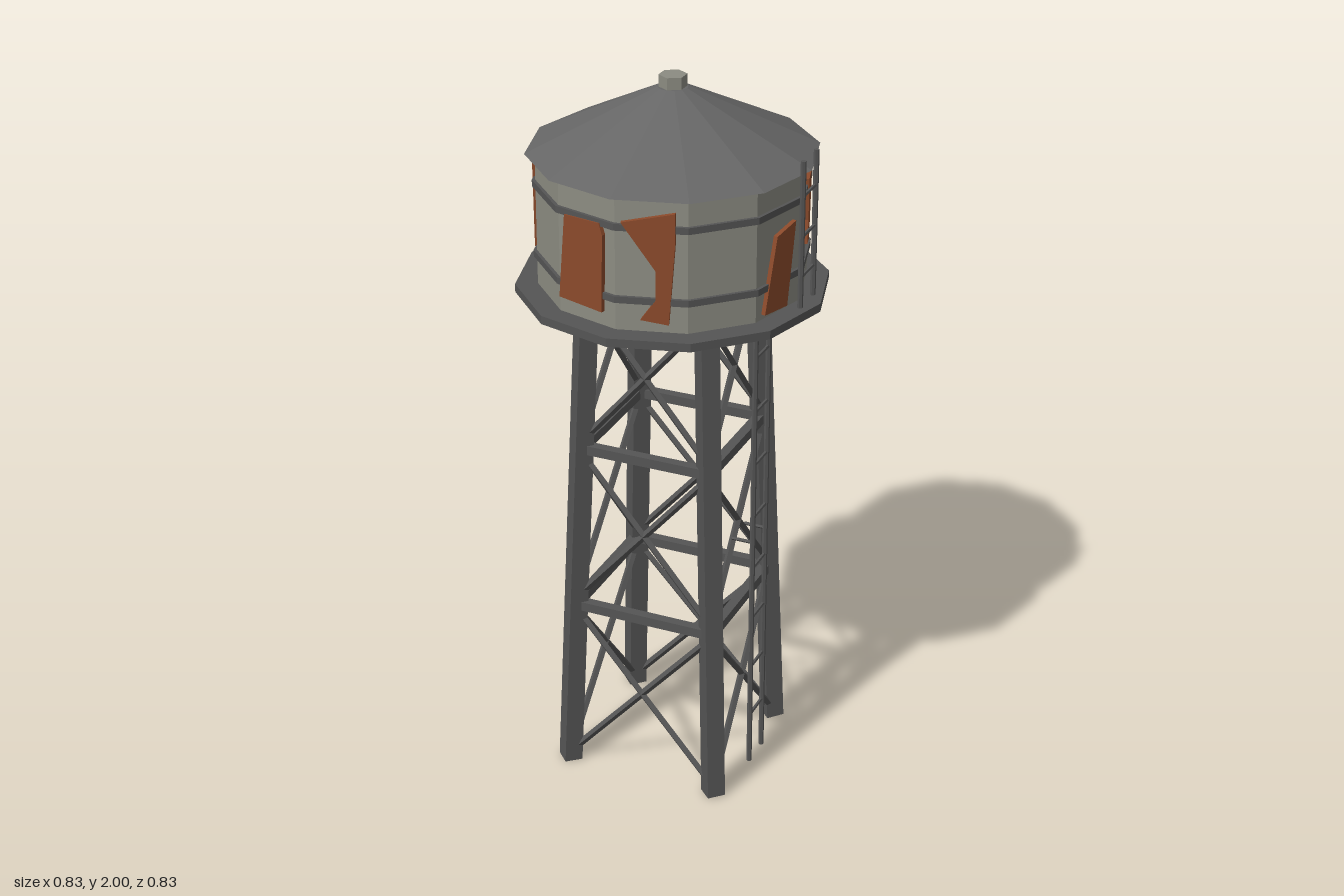
import * as THREE from 'three';

const mat = (color) => new THREE.MeshStandardMaterial({ color, flatShading: true });
const steel = mat(0x555555), roofGrey = mat(0x666666), tankGrey = mat(0x8c8c82), rust = mat(0x8b4a2b);
const UP = new THREE.Vector3(0, 1, 0);

export function createModel() {
  const root = new THREE.Group();
  root.name = 'waterTower';

  const add = (name, geometry, material, parent = root) => {
    const mesh = new THREE.Mesh(geometry, material);
    mesh.name = name;
    parent.add(mesh);
    return mesh;
  };
  const group = (name) => {
    const g = new THREE.Group();
    g.name = name;
    root.add(g);
    return g;
  };
  // Upright prism between two heights
  const drum = (name, rTop, rBottom, y0, y1, sides, material) => {
    const m = add(name, new THREE.CylinderGeometry(rTop, rBottom, y1 - y0, sides), material);
    m.position.y = (y0 + y1) / 2;
    return m;
  };
  // Straight bar between two points
  const bar = (name, a, b, radius, sides, parent) => {
    const p = new THREE.Vector3(...a), q = new THREE.Vector3(...b);
    const dir = q.clone().sub(p);
    const m = add(name, new THREE.CylinderGeometry(radius, radius, dir.length(), sides), steel, parent);
    m.position.copy(p).add(q).multiplyScalar(0.5);
    m.quaternion.setFromUnitVectors(UP, dir.normalize());
    return m;
  };

  // Tank, hoops, platform, roof and vent
  drum('platform', 0.415, 0.415, 1.417, 1.44, 12, steel);
  drum('tank', 0.355, 0.355, 1.44, 1.802, 12, tankGrey);
  for (const y of [1.525, 1.72]) drum('hoop', 0.364, 0.364, y - 0.009, y + 0.009, 12, steel);
  drum('roof', 0.04, 0.382, 1.8, 1.968, 12, roofGrey);
  drum('vent', 0.037, 0.037, 1.96, 2, 6, tankGrey);

  // Legs lean inwards; half-spread at a given height
  const spread = (y) => 0.22 - 0.05 * (y / 1.42);
  const legs = group('legs');
  for (const sx of [-1, 1]) for (const sz of [-1, 1]) {
    const s0 = spread(0), s1 = spread(1.42);
    bar('leg', [sx * s0, 0.002, sz * s0], [sx * s1, 1.42, sz * s1], 0.036, 4, legs);
  }

  // Beams and cross braces, repeated on four sides
  const tiers = [[0.02, 0.49], [0.525, 0.97], [1.005, 1.42]];
  for (let i = 0; i < 4; i++) {
    const side = group('bracing');
    side.rotation.y = i * Math.PI / 2;
    for (const y of [0.505, 0.985]) {
      const beam = add('beam', new THREE.BoxGeometry(2 * spread(y), 0.027, 0.027), steel, side);
      beam.position.set(0, y, spread(y));
    }
    for (const [y0, y1] of tiers) for (const s of [-1, 1]) {
      const a = spread(y0), b = spread(y1);
      bar('crossBrace', [-s * a, y0, a], [s * b, y1, b], 0.01, 4, side);
    }
  }

  // Lower and upper ladders on the left side
  const ladder = (name, x, y0, y1, firstRung, step, count) => {
    const g = group(name);
    for (const z of [-0.045, 0.045]) bar('rail', [x, y0, z], [x, y1, z], 0.0075, 6, g);
    for (let i = 0; i < count; i++) {
      const y = firstRung + i * step;
      bar('rung', [x, y, -0.045], [x, y, 0.045], 0.005, 5, g);
    }
    return g;
  };
  const lower = ladder('lowerLadder', 0.256, 0.01, 1.42, 0.165, 0.158, 8);
  for (const z of [-0.045, 0.045]) bar('ladderBracket', [0.195, 0.72, z], [0.256, 0.72, z], 0.005, 5, lower);
  ladder('upperLadder', 0.376, 1.44, 1.84, 1.525, 0.11, 3);

  // Rust plates: facet angle in degrees, then outline as [across, height]
  const patches = [
    [-15, [[-0.063, 1.715], [0.05, 1.72], [0.061, 1.69], [0.056, 1.48], [-0.084, 1.485]]],
    [15, [[-0.075, 1.735], [0.061, 1.765], [0.061, 1.68], [0.045, 1.465], [-0.027, 1.475], [0.012, 1.53], [0.012, 1.61]]],
    [75, [[-0.022, 1.655], [0.056, 1.675], [0.025, 1.45], [-0.069, 1.455]]],
    [105, [[-0.02, 1.745], [0.037, 1.75], [0.032, 1.69], [0.012, 1.57], [-0.03, 1.57], [-0.014, 1.63]]],
    [135, [[-0.032, 1.75], [0.081, 1.75], [0.06, 1.465], [-0.046, 1.465]]],
    [165, [[-0.03, 1.74], [0.035, 1.73], [0.04, 1.6], [0.03, 1.475], [-0.02, 1.48]]],
    [195, [[-0.055, 1.69], [0, 1.65], [0.03, 1.69], [0.07, 1.6], [0.06, 1.53], [-0.085, 1.56]]],
    [255, [[-0.04, 1.75], [0.075, 1.76], [0.05, 1.46], [-0.06, 1.46]]],
    [285, [[-0.03, 1.785], [0.07, 1.785], [0.06, 1.53], [-0.04, 1.55]]],
  ];
  const plates = group('rustPlates');
  for (const [deg, outline] of patches) {
    const shape = new THREE.Shape(outline.map(([u, y]) => new THREE.Vector2(u, y)));
    const geo = new THREE.ExtrudeGeometry(shape, { depth: 0.016, bevelEnabled: false });
    geo.translate(0, 0, 0.339);
    add('rustPlate', geo, rust, plates).rotation.y = THREE.MathUtils.degToRad(deg);
  }
  return root;
}
